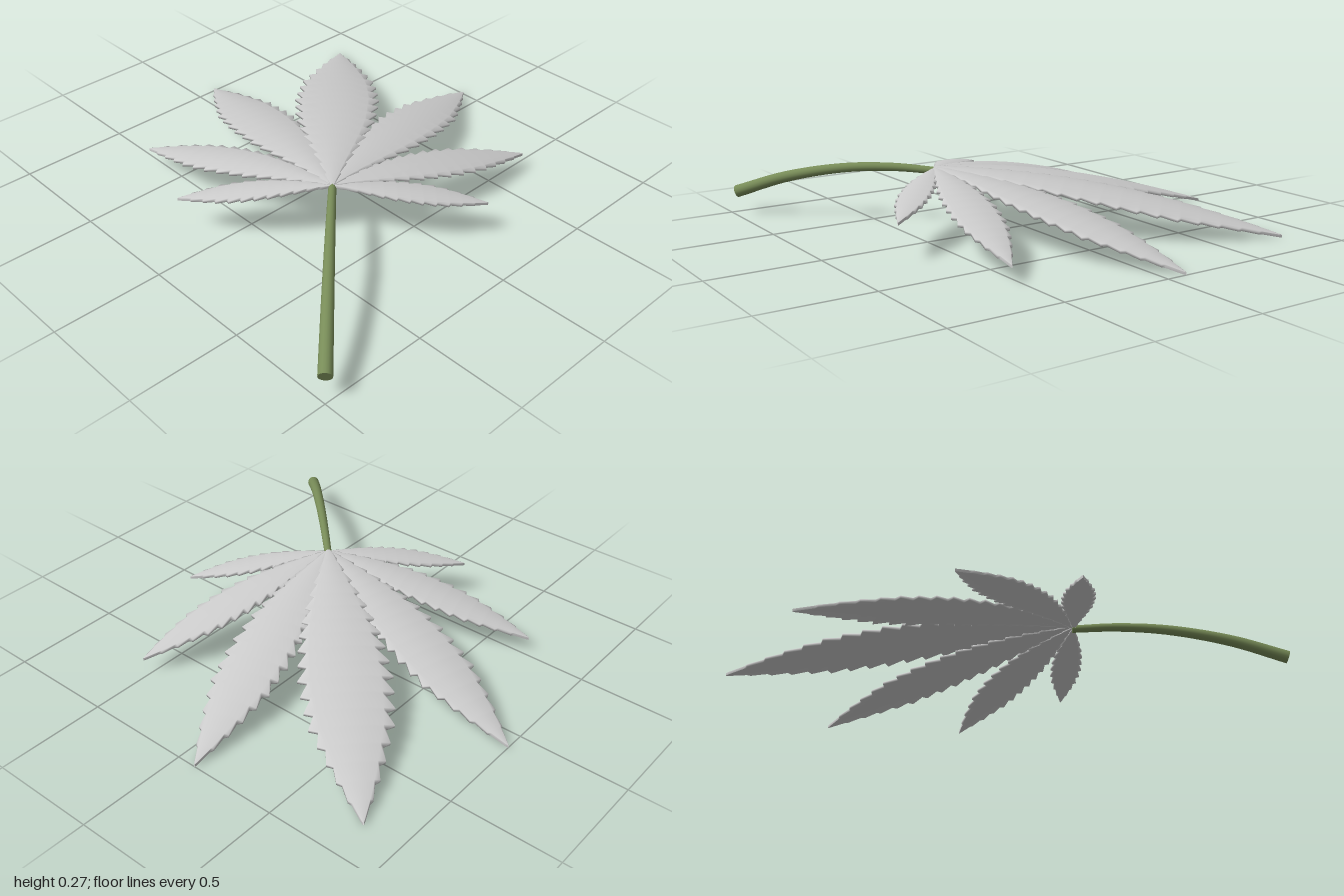
import * as THREE from 'three';

const HUB = new THREE.Vector3(-0.29, 0.26, 0.29);
const THICKNESS = 0.012;

// Half-width along a leaflet, as [distance, fraction of the widest point]
const PROFILE = [[0, 0.06], [0.1, 0.29], [0.2, 0.53], [0.3, 0.75], [0.4, 0.91], [0.55, 1],
  [0.7, 0.9], [0.85, 0.52], [0.95, 0.2], [1, 0.01]];

function widthAt(t) {
  for (let i = 1; i < PROFILE.length; i++) {
    const [t0, w0] = PROFILE[i - 1], [t1, w1] = PROFILE[i];
    if (t <= t1) return THREE.MathUtils.lerp(w0, w1, (t - t0) / (t1 - t0));
  }
  return 0.01;
}

// Serrated blade of even thickness, arching from the hub down to its tip
function leafletGeometry(tipX, tipY, tipZ, halfWidth, teeth, lift) {
  const dx = tipX - HUB.x, dz = tipZ - HUB.z, length = Math.hypot(dx, dz);
  const sideX = -dz / length, sideZ = dx / length;
  const columns = [-1, -0.8, -0.4, 0, 0.4, 0.8, 1];
  const n = columns.length;
  const rows = [];
  for (let k = 0; k < teeth; k++) {
    rows.push({ t: k / teeth, notch: 0.86 });
    rows.push({ t: (k + 0.85) / teeth, notch: 1.08 });
  }
  rows.push({ t: 1, notch: 1 });

  // Upper skin first, then the lower skin in the same order
  const positions = [], indices = [];
  for (const depth of [0, THICKNESS]) {
    for (const { t, notch } of rows) {
      const w = widthAt(t) * halfWidth;
      const y = HUB.y + lift * (1 - t) - (HUB.y - tipY) * Math.pow(t, 1.75);
      for (const s of columns) {
        const across = s * w * (Math.abs(s) === 1 ? notch : 1);
        positions.push(
          HUB.x + dx * t + sideX * across,
          y - 0.12 * w * s * s - depth,
          HUB.z + dz * t + sideZ * across);
      }
    }
  }
  const under = rows.length * n;
  for (let r = 0; r < rows.length - 1; r++) {
    for (let c = 0; c < n - 1; c++) {
      const a = r * n + c, b = a + 1, d = a + n, e = d + 1;
      indices.push(a, b, d, b, e, d);
      indices.push(a + under, d + under, b + under, b + under, d + under, e + under);
    }
    // Toothed rims on both sides
    const a = r * n, d = a + n, b = a + n - 1, e = b + n;
    indices.push(a, d, d + under, a, d + under, a + under);
    indices.push(e, b, b + under, e, b + under, e + under);
  }
  const geometry = new THREE.BufferGeometry();
  geometry.setAttribute('position', new THREE.Float32BufferAttribute(positions, 3));
  geometry.setIndex(indices);
  geometry.computeVertexNormals();
  return geometry;
}

// Arched stalk, thicker at the cut end
function createStem(material) {
  const stem = new THREE.Group();
  stem.name = 'stem';
  const path = new THREE.CatmullRomCurve3([
    [-0.977, 0.106, 0.977], [-0.8, 0.187, 0.8], [-0.6, 0.24, 0.6],
    [-0.43, 0.253, 0.43], [-0.285, 0.243, 0.285],
  ].map((p) => new THREE.Vector3(...p)));
  const segments = 32, sides = 16, thick = 0.029, thin = 0.017;
  const geometry = new THREE.TubeGeometry(path, segments, thick, sides);
  const position = geometry.attributes.position, v = new THREE.Vector3();
  for (let i = 0; i < position.count; i++) {
    const t = Math.floor(i / (sides + 1)) / segments;
    const centre = path.getPointAt(t);
    v.fromBufferAttribute(position, i).sub(centre)
      .multiplyScalar(THREE.MathUtils.lerp(1, thin / thick, t)).add(centre);
    position.setXYZ(i, v.x, v.y, v.z);
  }
  const stalk = new THREE.Mesh(geometry, material);
  stalk.name = 'stalk';
  stem.add(stalk);
  for (const [t, radius, direction] of [[0, thick, -1], [1, thin, 1]]) {
    const cap = new THREE.Mesh(new THREE.CircleGeometry(radius, sides), material);
    cap.name = t === 0 ? 'cutEnd' : 'hubEnd';
    cap.position.copy(path.getPointAt(t));
    cap.quaternion.setFromUnitVectors(new THREE.Vector3(0, 0, 1),
      path.getTangentAt(t).multiplyScalar(direction));
    stem.add(cap);
  }
  return stem;
}

export function createModel() {
  const model = new THREE.Group();
  model.name = 'palmateLeaf';
  const leafGrey = new THREE.MeshStandardMaterial({ color: 0xcccccc, side: THREE.DoubleSide });
  leafGrey.name = 'leafGrey';
  const stemGreen = new THREE.MeshStandardMaterial({ color: 0x788c58 });
  stemGreen.name = 'stemGreen';

  const addLeaflet = (name, ...shape) => {
    const mesh = new THREE.Mesh(leafletGeometry(...shape), leafGrey);
    mesh.name = name;
    model.add(mesh);
  };

  // Middle leaflet, then pairs mirrored across the diagonal
  addLeaflet('middleLeaflet', 0.82, 0.015, -0.82, 0.19, 18, 0.006);
  const pairs = [
    ['innerLeaflet', 0.092, 0.014, -1.0, 0.143, 17, 0.003],
    ['outerLeaflet', -0.53, 0.075, -0.7, 0.106, 15, 0],
    ['baseLeaflet', -0.745, 0.164, -0.19, 0.07, 12, -0.003],
  ];
  for (const [name, x, y, z, ...rest] of pairs) {
    addLeaflet(name + 'Right', x, y, z, ...rest);
    addLeaflet(name + 'Left', -z, y, -x, ...rest);
  }

  model.add(createStem(stemGreen));
  return model;
}
